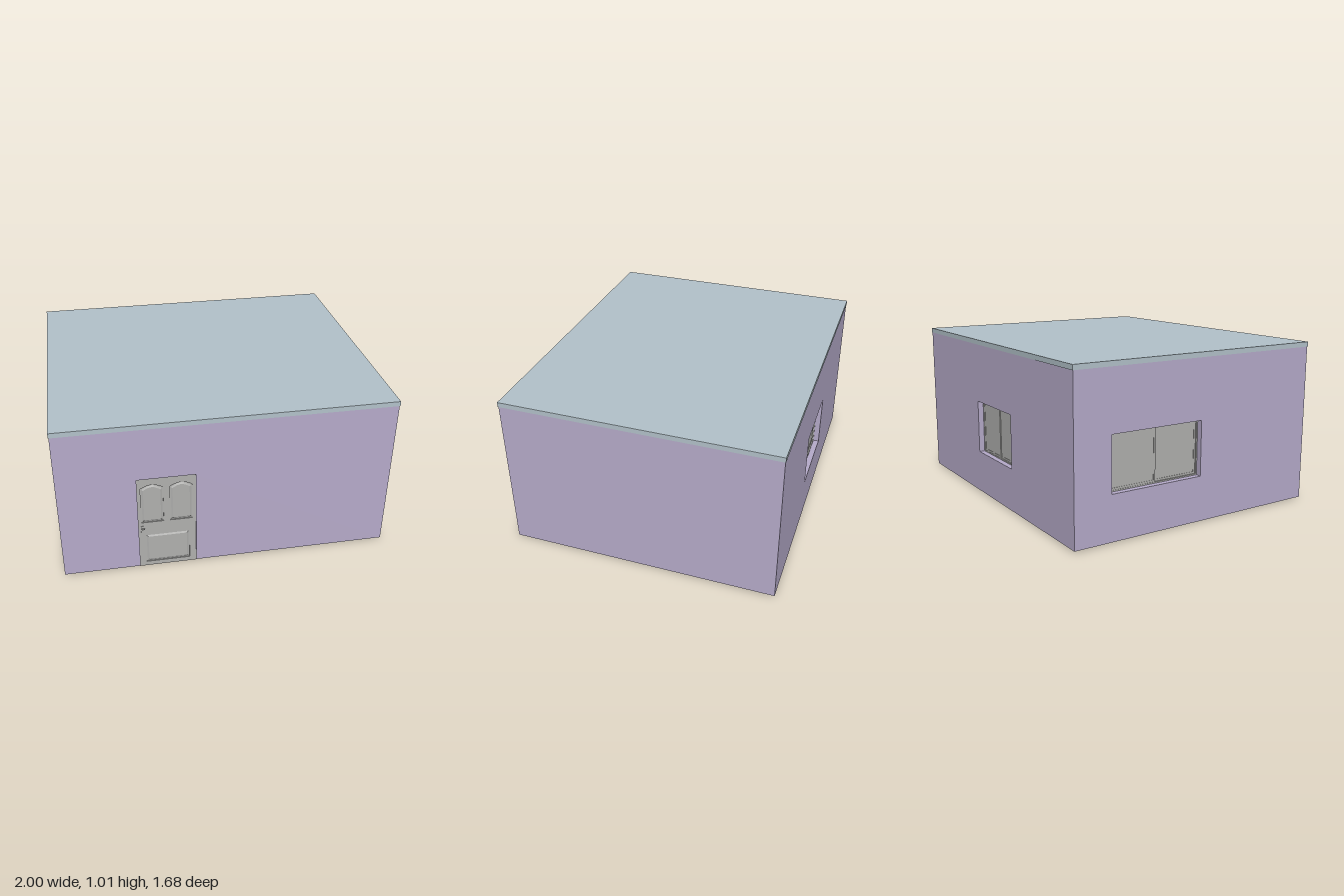
import * as THREE from 'three';

const W = 0.997, D = 0.837, T = 0.043, Y0 = 0.008, Y1 = 0.99;

const lavender = new THREE.MeshStandardMaterial({ color: 0xb6abca });
lavender.name = 'lavenderWall';
const blueGrey = new THREE.MeshStandardMaterial({ color: 0xb3c2ca });
blueGrey.name = 'blueGreyRoof';
const grey = new THREE.MeshStandardMaterial({ color: 0xb0b0ae });
grey.name = 'grey';

function add(parent, name, geometry, material, x = 0, y = 0, z = 0) {
  const mesh = new THREE.Mesh(geometry, material);
  mesh.name = name;
  mesh.position.set(x, y, z);
  parent.add(mesh);
  return mesh;
}

// Box given by its limits
function box(parent, name, material, x0, x1, y0, y1, z0, z1) {
  return add(parent, name, new THREE.BoxGeometry(x1 - x0, y1 - y0, z1 - z0), material,
    (x0 + x1) / 2, (y0 + y1) / 2, (z0 + z1) / 2);
}

function polygon(points, Type = THREE.Shape) {
  return new Type(points.map(([x, y]) => new THREE.Vector2(x, y)));
}

const rect = (x0, x1, y0, y1) => [[x0, y0], [x1, y0], [x1, y1], [x0, y1]];

// Panel outline inset by d, with an arch of the given rise along its top
function panelOutline(x0, x1, y0, y1, rise, d = 0) {
  const points = [[x0 + d, y0 + d], [x1 - d, y0 + d]];
  const steps = rise ? 12 : 1;
  for (let i = 0; i <= steps; i++) {
    const t = i / steps;
    points.push([x1 - d - (x1 - x0 - 2 * d) * t, y1 - d - rise + rise * Math.sin(Math.PI * t)]);
  }
  return points;
}

function extrude(shape, depth, bevel = 0) {
  return new THREE.ExtrudeGeometry(shape, {
    depth, bevelEnabled: bevel > 0, bevelSize: bevel * 2, bevelThickness: bevel, bevelSegments: 1,
  });
}

// Wall whose outer face is local z = 0, with an optional window hole
function makeWall(name, half, window) {
  const group = new THREE.Group();
  group.name = name;
  const shape = polygon(rect(-half, half, Y0, Y1));
  if (window) {
    shape.holes.push(polygon(rect(...window), THREE.Path));
    group.add(makeWindow(...window));
  }
  add(group, name + 'Panel', extrude(shape, T), lavender, 0, 0, -T);
  return group;
}

// Sliding window: thin frame and two offset sashes set deep in the opening
function makeWindow(x0, x1, y0, y1) {
  const group = new THREE.Group();
  group.name = 'window';
  const f = 0.008, mid = (x0 + x1) / 2;
  const frame = polygon(rect(x0, x1, y0, y1));
  frame.holes.push(polygon(rect(x0 + f, x1 - f, y0 + f, y1 - f), THREE.Path));
  add(group, 'windowFrame', extrude(frame, 0.014), grey, 0, 0, -T - 0.006);
  [[x0 + f, mid + 0.008, -0.04], [mid - 0.008, x1 - f, -0.046]].forEach(([a, b, z]) => {
    const sash = polygon(rect(a, b, y0 + f, y1 - f));
    sash.holes.push(polygon(rect(a + 0.012, b - 0.012, y0 + f + 0.012, y1 - f - 0.012), THREE.Path));
    add(group, 'windowSash', extrude(sash, 0.006), grey, 0, 0, z - 0.003);
    box(group, 'windowPane', grey, a, b, y0 + f, y1 - f, z - 0.002, z + 0.001);
  });
  return group;
}

// Panelled door, two arched panels over one square panel
function makeDoor(x0, x1, top) {
  const group = new THREE.Group();
  group.name = 'door';
  const back = 0.805, front = 0.83, c = (x0 + x1) / 2;
  const panels = [
    [x0 + 0.02, c - 0.02, 0.33, 0.598, 0.022],
    [c + 0.02, x1 - 0.02, 0.33, 0.598, 0.022],
    [x0 + 0.04, x1 - 0.04, 0.03, 0.235, 0],
  ];
  const r = 0.008;
  const leaf = polygon([[x0, 0], [x1, 0], [x1, top - r], [x1 - r, top], [x0 + r, top], [x0, top - r]]);
  panels.forEach((p) => {
    leaf.holes.push(polygon(panelOutline(...p), THREE.Path));
    add(group, 'doorPanel', extrude(polygon(panelOutline(...p, 0.016)), 0.002, 0.005),
      grey, 0, 0, front - 0.008);
  });
  add(group, 'doorLeaf', extrude(leaf, 0.007), grey, 0, 0, front - 0.007);
  box(group, 'doorCore', grey, x0, x1, 0, top - r, back, front - 0.006);

  // Handle plate and lever
  box(group, 'handlePlate', grey, x0 + 0.014, x0 + 0.028, 0.25, 0.305, front, front + 0.004);
  const stem = add(group, 'handleStem', new THREE.CylinderGeometry(0.004, 0.004, 0.012, 12),
    grey, x0 + 0.021, 0.288, front + 0.006);
  stem.rotation.x = Math.PI / 2;
  box(group, 'handleLever', grey, x0 + 0.017, x0 + 0.036, 0.284, 0.292, front + 0.007, front + 0.012);
  return group;
}

export function createModel() {
  const model = new THREE.Group();
  model.name = 'house';

  // Front wall with a doorway notch
  const dx0 = -0.54, dx1 = -0.195, dTop = 0.645;
  const front = polygon([[-W, Y0], [dx0, Y0], [dx0, dTop], [dx1, dTop], [dx1, Y0], [W, Y0], [W, Y1], [-W, Y1]]);
  add(model, 'frontWall', extrude(front, T), lavender, 0, 0, D - T);
  model.add(makeDoor(dx0, dx1, dTop));

  // Back wall with window
  const back = makeWall('backWall', W, [-0.22, 0.255, 0.275, 0.61]);
  back.rotation.y = Math.PI;
  back.position.z = -D;
  model.add(back);

  // Side walls, a window on the -x side only
  const windowed = makeWall('rightWall', D - T, [-0.6, 0.01, 0.283, 0.615]);
  windowed.rotation.y = -Math.PI / 2;
  windowed.position.x = -W;
  model.add(windowed);
  const plain = makeWall('leftWall', D - T);
  plain.rotation.y = Math.PI / 2;
  plain.position.x = W;
  model.add(plain);

  // Floor slab inside the walls and flat roof
  box(model, 'floor', grey, -W + T, W - T, Y0, 0.03, -D + T, D - T);
  box(model, 'roof', blueGrey, -1, 1, 0.98, 1.01, -0.84, 0.84);
  return model;
}
